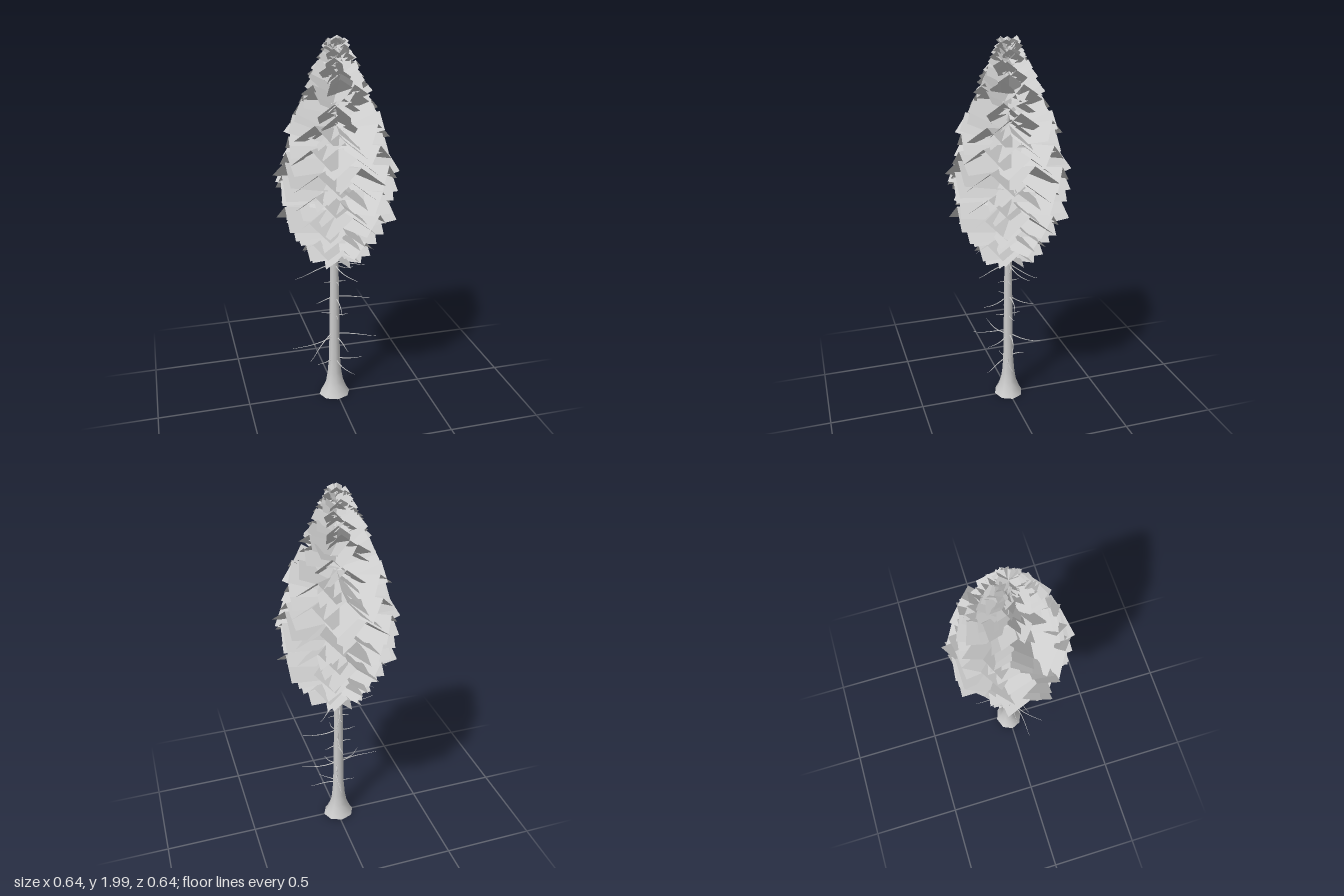
import * as THREE from 'three';
import { mergeGeometries } from 'three/addons/utils/BufferGeometryUtils.js';

// Small seeded generator, so the tree always grows the same way
function seeded(seed) {
  return () => {
    seed = (seed * 16807) % 2147483647;
    return seed / 2147483647;
  };
}

// Crown outline: [height, radius]
const OUTLINE = [
  [0.87, 0.15], [0.96, 0.2], [1.05, 0.255], [1.15, 0.285], [1.3, 0.31], [1.42, 0.3],
  [1.53, 0.27], [1.63, 0.215], [1.72, 0.175], [1.82, 0.125], [1.92, 0.07], [1.99, 0.035],
];

function crownRadius(y) {
  for (let i = 1; i < OUTLINE.length; i++) {
    const [y0, r0] = OUTLINE[i - 1], [y1, r1] = OUTLINE[i];
    if (y <= y1) return THREE.MathUtils.mapLinear(y, y0, y1, r0, r1);
  }
  return 0.035;
}

// Rectangular foliage card, folded steeply along its ridge like a roof and raised outwards
function foliageCard(radius, width, raise, angle, tipY) {
  const card = new THREE.PlaneGeometry(1, 1, 2, 1);
  const p = card.attributes.position;
  const length = radius / Math.cos(raise);
  for (let i = 0; i < p.count; i++) {
    const x = p.getX(i), y = p.getY(i);
    p.setXYZ(i, -x * width, -Math.abs(x) * width * 0.8, (y + 0.5) * length);
  }
  card.rotateX(-raise).rotateY(angle);
  card.translate(0, tipY - Math.sin(raise) * length, 0);
  card.computeVertexNormals();
  return card;
}

// Thin bare branch, tapering and bending towards its tip
function bareBranch(y, angle, length, rise, sway) {
  const branch = new THREE.CylinderGeometry(0.0008, 0.004, length, 5, 6, true);
  branch.translate(0, length / 2, 0).rotateX(Math.PI / 2);
  const p = branch.attributes.position;
  for (let i = 0; i < p.count; i++) {
    const t = p.getZ(i) / length;
    p.setX(i, p.getX(i) + sway * Math.sin(t * 4) * length);
    p.setY(i, p.getY(i) + rise * (1.5 * t - 0.5 * t * t * t));
  }
  branch.rotateY(angle).translate(-0.008, y, 0);
  branch.computeVertexNormals();
  return branch;
}

export function createModel() {
  const tree = new THREE.Group();
  tree.name = 'conifer';
  const random = seeded(4177);
  const wood = new THREE.MeshStandardMaterial({ color: 0xcccccc, side: THREE.DoubleSide });
  const leaf = new THREE.MeshStandardMaterial({
    color: 0xcccccc, side: THREE.DoubleSide, flatShading: true,
  });
  const add = (name, geometry, material) => {
    const mesh = new THREE.Mesh(geometry, material);
    mesh.name = name;
    tree.add(mesh);
    return mesh;
  };

  // Trunk with flared foot, slightly wider from side to side
  const profile = [
    [0.088, 0], [0.07, 0.03], [0.05, 0.08], [0.04, 0.14], [0.033, 0.22], [0.03, 0.34],
    [0.028, 0.5], [0.024, 0.75], [0.02, 1.0], [0.012, 1.5], [0.002, 1.97],
  ].map(([r, y]) => new THREE.Vector2(r, y));
  const trunk = new THREE.LatheGeometry(profile, 8).scale(1, 1, 0.9);
  add('trunk', trunk, wood).position.x = -0.01;

  // Bare branches: [height, angle in degrees from the front, length, rise]
  const bare = [
    [0.81, -80, 0.23, -0.05], [0.81, 75, 0.16, -0.01], [0.8, 20, 0.2, -0.03],
    [0.8, 160, 0.16, -0.08], [0.8, 120, 0.15, -0.06],
    [0.7, -90, 0.06, 0], [0.7, 85, 0.06, 0], [0.7, 10, 0.06, 0], [0.7, 180, 0.06, 0],
    [0.61, 85, 0.2, -0.02], [0.61, -80, 0.11, -0.02], [0.61, 5, 0.14, -0.05],
    [0.61, 170, 0.15, -0.06],
    [0.51, -85, 0.08, 0.01], [0.5, 95, 0.08, -0.01], [0.5, 0, 0.07, 0], [0.5, 180, 0.07, 0],
    [0.37, -75, 0.26, -0.02], [0.4, -50, 0.24, -0.08], [0.38, 80, 0.23, -0.02],
    [0.38, 165, 0.2, -0.06], [0.37, 20, 0.14, -0.04],
    [0.23, 80, 0.16, -0.01], [0.23, -75, 0.11, -0.02], [0.23, 25, 0.16, -0.04],
    [0.23, 170, 0.11, 0.02],
  ];
  add('bareBranches', mergeGeometries(bare.map(([y, deg, length, rise], i) =>
    bareBranch(y, THREE.MathUtils.degToRad(deg), length, rise, i % 2 ? 0.06 : -0.06))), wood);

  // Crown: tiers of four cards, drooping at the bottom and rising steeply at the top;
  // every third tier sits diagonally, and the turn gets freer with height
  const tiers = 36;
  for (let i = 0; i < tiers; i++) {
    const t = i / (tiers - 1);
    const y = 0.88 + 1.1 * (1 - Math.pow(1 - t, 1.55));
    const high = THREE.MathUtils.smoothstep(y, 1.5, 1.9);
    const diagonal = i % 3 === 2 ? Math.PI / 4 : 0;
    const turn = diagonal + (random() - 0.5) * (0.4 + 1.1 * high);
    const raise = -0.15 + 0.2 * THREE.MathUtils.smoothstep(y, 0.9, 1.4) + 0.6 * high
      + (random() - 0.5) * 0.35;
    const radius = crownRadius(y) * (0.85 + 0.15 * random());
    const cards = [];
    for (let k = 0; k < 4; k++) {
      const angle = turn + k * Math.PI / 2 + (random() - 0.5) * (0.06 + 0.5 * high);
      cards.push(foliageCard(radius, radius * 0.8 + 0.02, raise, angle, y + (random() - 0.5) * 0.02));
    }
    add('foliageTier' + (i + 1), mergeGeometries(cards), leaf);
  }
  return tree;
}
